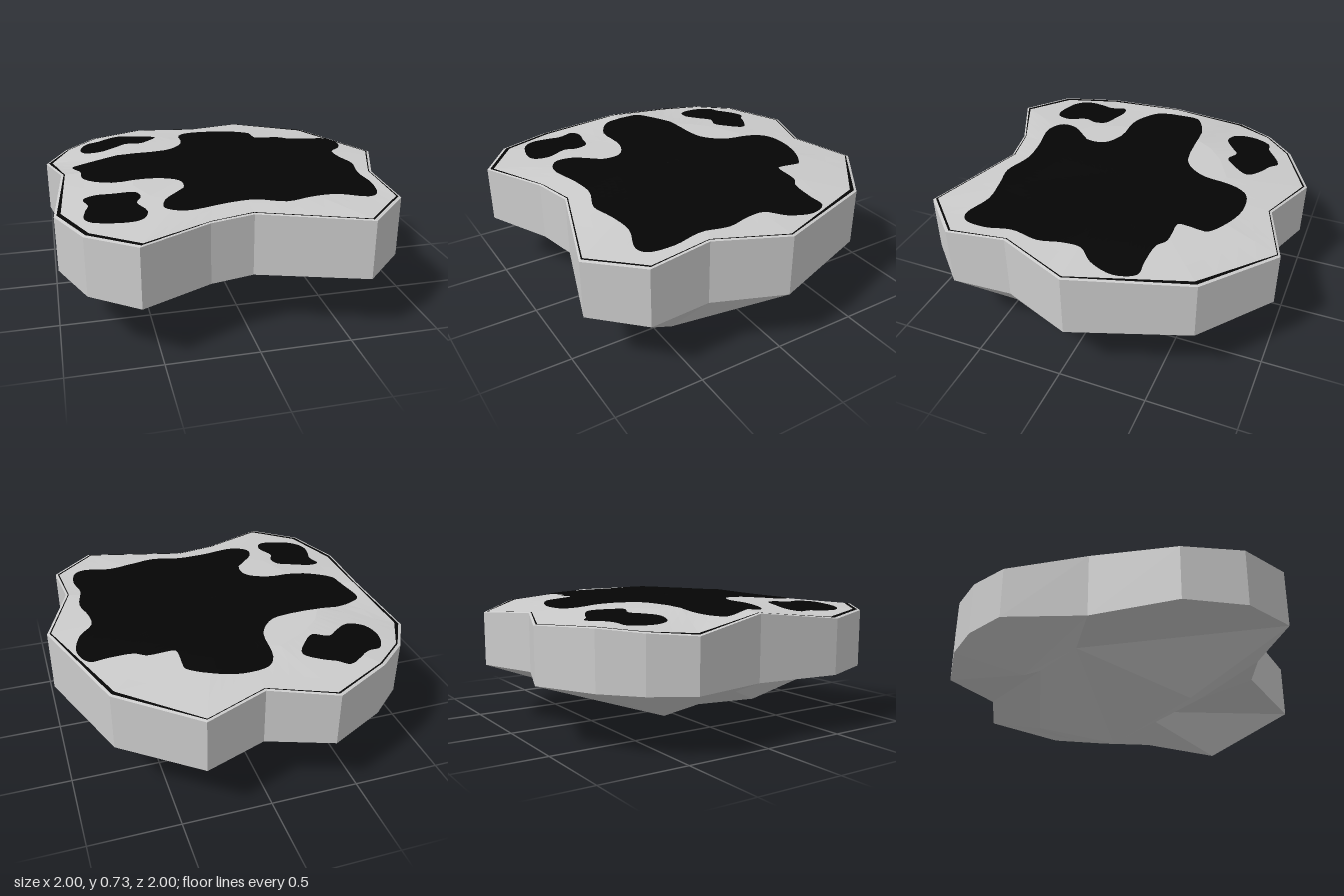
import * as THREE from 'three';

const BASE = 0.33;

// Island outline: x, z, rim height, width of the dark seam, height halfway to the middle
const rim = [
  [-0.35, -1.0, 0.64, 0.01, 0.695], [0.01, -0.87, 0.66, 0.006, 0.697],
  [0.36, -1.0, 0.64, 0.006, 0.695], [0.77, -0.68, 0.66, 0.022, 0.7],
  [1.0, -0.04, 0.685, 0.008, 0.71], [0.84, 0.36, 0.7, 0.006, 0.708],
  [0.86, 0.71, 0.67, 0.01, 0.7], [0.61, 0.96, 0.66, 0.01, 0.705],
  [0.02, 0.77, 0.675, 0.008, 0.73], [-0.22, 0.82, 0.67, 0.006, 0.72],
  [-0.6, 1.0, 0.66, 0.018, 0.7], [-0.85, 0.81, 0.655, 0.02, 0.697],
  [-0.98, 0.49, 0.64, 0.022, 0.698], [-0.92, 0.0, 0.692, 0.008, 0.71],
  [-1.0, -0.44, 0.62, 0.022, 0.705], [-0.87, -0.66, 0.635, 0.008, 0.7],
  [-0.68, -0.83, 0.65, 0.008, 0.698],
];

// The same outline with every edge split in four, for the curved top
const fineRim = rim.flatMap((p, i) => {
  const q = rim[(i + 1) % rim.length];
  return [0, 0.25, 0.5, 0.75].map((t) => p.map((v, k) => THREE.MathUtils.lerp(v, q[k], t)));
});

// Hanging points and the valleys between them
const rock = {
  A: [-0.66, 0.16, -0.42], B: [-0.35, 0.08, 0.44], C: [0.05, 0, -0.08],
  D: [0.63, 0.08, 0.46], E: [0.17, 0.19, -0.6], F: [0.51, 0.18, -0.26],
  G: [-0.36, BASE, -0.43], P: [0.36, BASE, 0.01], Q: [-0.59, BASE, -0.15],
  V: [0.02, 0.24, 0.47], X: [0.36, 0.17, -0.43],
};
const rockFaces = `0 1 G,1 E G,1 2 E,2 X E,2 3 X,3 F X,3 4 F,4 P F,P X F,P C X,C E X,C G E,
4 5 D,4 D P,5 6 D,6 7 D,7 P D,7 8 P,8 V P,8 9 V,9 B V,V B C,V C P,9 10 B,10 Q B,10 11 12,
10 12 13,10 13 Q,13 A Q,13 14 A,14 15 A,15 16 A,16 0 A,0 G A,A G Q,G C Q,Q C B`;

// Ground patches: centre and boundary points (x, z)
const patches = [
  { name: 'mainGroundPatch', centre: [0.1, 0], points: [
    [-0.12, -0.63], [-0.07, -0.7], [0.08, -0.72], [0.25, -0.67], [0.355, -0.6], [0.36, -0.58],
    [0.36, -0.45], [0.37, -0.435], [0.52, -0.43], [0.58, -0.39], [0.72, -0.38], [0.82, -0.38],
    [0.87, -0.27], [0.83, -0.13], [0.75, -0.04], [0.75, 0.07], [0.78, 0.2], [0.75, 0.37],
    [0.77, 0.52], [0.74, 0.66], [0.68, 0.69], [0.52, 0.64], [0.36, 0.66], [0.22, 0.69],
    [0.06, 0.64], [-0.1, 0.65], [-0.33, 0.69], [-0.42, 0.63], [-0.4, 0.53], [-0.28, 0.4],
    [-0.28, 0.28], [-0.4, 0.21], [-0.65, 0.2], [-0.8, 0.1], [-0.81, 0], [-0.85, -0.16],
    [-0.8, -0.2], [-0.66, -0.25], [-0.28, -0.28], [-0.2, -0.33], [-0.14, -0.43]] },
  { name: 'backGroundPatch', centre: [-0.54, -0.62], points: [
    [-0.73, -0.68], [-0.65, -0.7], [-0.5, -0.79], [-0.44, -0.75], [-0.37, -0.72], [-0.28, -0.65],
    [-0.34, -0.55], [-0.4, -0.5], [-0.49, -0.53], [-0.56, -0.48], [-0.65, -0.43], [-0.75, -0.46],
    [-0.78, -0.56]] },
  { name: 'frontGroundPatch', centre: [-0.67, 0.53], points: [
    [-0.76, 0.33], [-0.65, 0.35], [-0.54, 0.38], [-0.52, 0.45], [-0.55, 0.52], [-0.51, 0.64],
    [-0.54, 0.72], [-0.6, 0.74], [-0.78, 0.69], [-0.83, 0.62], [-0.82, 0.52], [-0.8, 0.45],
    [-0.82, 0.36]] },
];

const MID = 0.55, HUB = 0.715;

// Height of the gently domed top at any point inside the outline
function topHeight(x, z) {
  for (let i = 0; i < rim.length; i++) {
    const p = rim[i], q = rim[(i + 1) % rim.length];
    const det = p[0] * q[1] - p[1] * q[0];
    const a = (x * q[1] - z * q[0]) / det, b = (p[0] * z - p[1] * x) / det;
    if (a < -1e-6 || b < -1e-6) continue;
    const s = a + b;
    if (s < 1e-6) break;
    const edge = (a * p[2] + b * q[2]) / s + 0.003;
    const mid = (a * p[4] + b * q[4]) / s;
    return s < MID
      ? THREE.MathUtils.lerp(HUB, mid, s / MID)
      : THREE.MathUtils.lerp(mid, edge, (s - MID) / (1 - MID));
  }
  return HUB;
}

// Joins successive closed rings of points, outer or lower ring first
function loft(rings) {
  const pos = [];
  for (let k = 0; k + 1 < rings.length; k++) {
    const a = rings[k], b = rings[k + 1];
    for (let i = 0; i < a.length; i++) {
      const j = (i + 1) % a.length;
      pos.push(...a[j], ...a[i], ...b[i], ...a[j], ...b[i], ...b[j]);
    }
  }
  return toGeometry(pos);
}

function toGeometry(pos) {
  const g = new THREE.BufferGeometry();
  g.setAttribute('position', new THREE.Float32BufferAttribute(pos, 3));
  g.computeVertexNormals();
  return g;
}

// Underside facets, each turned to face downwards
function undersideGeometry() {
  const pos = [];
  const corner = (k) => new THREE.Vector3(...(rock[k] ?? [rim[k][0], BASE, rim[k][1]]));
  for (const face of rockFaces.split(',')) {
    const [a, b, c] = face.trim().split(' ').map(corner);
    const n = b.clone().sub(a).cross(c.clone().sub(a));
    for (const v of n.y < 0 ? [a, b, c] : [a, c, b]) pos.push(v.x, v.y, v.z);
  }
  return toGeometry(pos);
}

// Patch draped over the top, built from shrinking copies of its boundary
function patchGeometry({ centre, points }) {
  const curve = new THREE.CatmullRomCurve3(
    points.map(([x, z]) => new THREE.Vector3(x, 0, z)), true);
  const edge = curve.getPoints(points.length * 4).slice(0, -1);
  const rings = [];
  for (let k = 0; k <= 16; k++) {
    const s = 1 - k / 16;
    rings.push(edge.map((p) => {
      const x = centre[0] + (p.x - centre[0]) * s, z = centre[1] + (p.z - centre[1]) * s;
      return [x, topHeight(x, z) + 0.006, z];
    }));
  }
  return loft(rings);
}

export function createModel() {
  const model = new THREE.Group();
  model.name = 'floatingIsland';
  const stone = new THREE.MeshStandardMaterial({ color: 0xcccccc, flatShading: true });
  const dark = new THREE.MeshStandardMaterial({ color: 0x050505 });

  const add = (name, geometry, material) => {
    const mesh = new THREE.Mesh(geometry, material);
    mesh.name = name;
    model.add(mesh);
  };

  // Ring on the top surface, scaled towards the middle by a factor per corner
  const topRing = (scale) => fineRim.map((p) => {
    const s = scale(p), x = p[0] * s, z = p[1] * s;
    return [x, topHeight(x, z), z];
  });
  const ringAt = (points, y) => points.map((p) => [p[0], y ?? p[2], p[1]]);

  const lip = topRing(() => 0.985);
  const seam = topRing((p) => 0.985 - p[3]);
  const inner = [0.85, 0.7, MID, 0.3, 0].map((s) => topRing(() => s));

  add('underside', undersideGeometry(), stone);
  add('sideWall', loft([ringAt(rim, BASE), ringAt(rim)]), stone);
  add('rimLip', loft([ringAt(fineRim), lip]), stone);
  add('rimSeam', loft([lip, seam]), dark);
  add('topSurface', loft([seam, ...inner]), stone);
  for (const patch of patches) add(patch.name, patchGeometry(patch), dark);

  return model;
}
